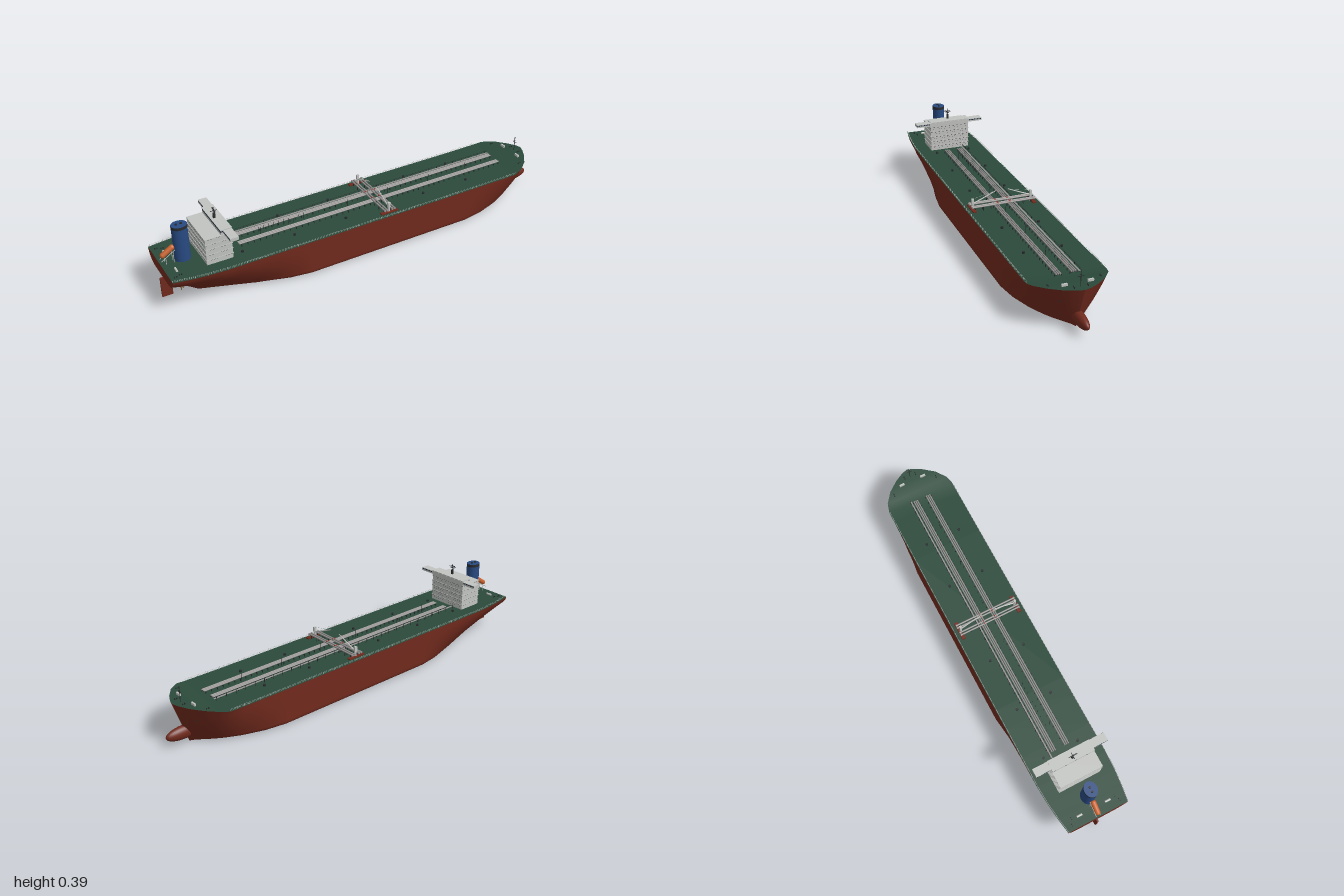
import * as THREE from 'three';
import { mergeGeometries } from 'three/addons/utils/BufferGeometryUtils.js';

const paint = (name, color) => {
  const m = new THREE.MeshStandardMaterial({ color });
  m.name = name;
  return m;
};
const V = (x, y, z) => new THREE.Vector3(x, y, z);

// Box given by size and centre
const box = (sx, sy, sz, x, y, z) => new THREE.BoxGeometry(sx, sy, sz).translate(x, y, z);

// Round bar between two points
function rod(a, b, r, sides = 6, r2 = r) {
  const d = b.clone().sub(a);
  const q = new THREE.Quaternion().setFromUnitVectors(V(0, 1, 0), d.clone().normalize());
  const mid = a.clone().add(b).multiplyScalar(0.5);
  return new THREE.CylinderGeometry(r2, r, d.length(), sides).applyQuaternion(q).translate(mid.x, mid.y, mid.z);
}

// Surface through equal rows of points
function loft(rows) {
  const n = rows[0].length, pos = [], idx = [];
  rows.forEach(row => row.forEach(p => pos.push(p.x, p.y, p.z)));
  for (let i = 0; i < rows.length - 1; i++) for (let j = 0; j < n - 1; j++) {
    const a = i * n + j, b = a + 1, c = a + n, d = c + 1;
    idx.push(a, b, c, c, b, d);
  }
  const g = new THREE.BufferGeometry();
  g.setAttribute('position', new THREE.Float32BufferAttribute(pos, 3));
  g.setIndex(idx);
  g.computeVertexNormals();
  return g;
}

// Hull stations: bottom x, top x, bottom y, deck y, bottom half-width, middle half-width, middle y, deck half-width
const STATIONS = [
  [-0.99, -0.99, 0.125, 0.18, 0.10, 0.145, 0.15, 0.152],
  [-0.92, -0.92, 0.068, 0.178, 0.03, 0.158, 0.13, 0.163],
  [-0.84, -0.84, 0, 0.177, 0.015, 0.165, 0.125, 0.172],
  [-0.75, -0.75, 0, 0.176, 0.05, 0.174, 0.115, 0.177],
  [-0.6, -0.6, 0, 0.176, 0.11, 0.177, 0.10, 0.177],
  [-0.45, -0.45, 0, 0.176, 0.16, 0.177, 0.09, 0.177],
  [-0.35, -0.35, 0, 0.176, 0.177, 0.177, 0.09, 0.177],
  [0.5, 0.5, 0, 0.176, 0.177, 0.177, 0.09, 0.177],
  [0.6, 0.61, 0, 0.176, 0.16, 0.177, 0.09, 0.177],
  [0.7, 0.72, 0, 0.177, 0.125, 0.17, 0.1, 0.177],
  [0.77, 0.79, 0, 0.178, 0.09, 0.15, 0.1, 0.177],
  [0.81, 0.835, 0, 0.188, 0.065, 0.128, 0.1, 0.164],
  [0.845, 0.885, 0, 0.195, 0.04, 0.095, 0.1, 0.125],
  [0.87, 0.925, 0, 0.198, 0.02, 0.055, 0.1, 0.073],
  [0.885, 0.948, 0, 0.201, 0.008, 0.022, 0.1, 0.03],
  [0.89, 0.957, 0, 0.202, 0, 0, 0.1, 0]
];

function section([xb, xt, yb, yt, wb, wm, ym, wt]) {
  const B = new THREE.Vector2(wb, yb), M = new THREE.Vector2(wm, ym), T = new THREE.Vector2(wt, yt);
  const r = Math.min(0.024, wb);
  const P = B.clone().lerp(M, Math.min(0.5, r / B.distanceTo(M)));
  const bilge = new THREE.QuadraticBezierCurve(new THREE.Vector2(wb - r, yb), B, P).getPoints(6);
  const side = new THREE.QuadraticBezierCurve(P, M, T).getPoints(8).slice(1);
  const half = [...bilge, ...side].map(p => V(xb + (xt - xb) * (p.y - yb) / (yt - yb), p.y, p.x));
  const left = half.slice().reverse();
  return [...left, V(xb, yb, 0), ...half.map(p => V(p.x, p.y, -p.z))];
}

export function createModel() {
  const ship = new THREE.Group();
  ship.name = 'tankerShip';
  const red = paint('hullRed', 0x712a1d), green = paint('deckGreen', 0x2b4a3b);
  const white = paint('houseGrey', 0xc2c4c1), blue = paint('funnelBlue', 0x284a82);
  const black = paint('blackFittings', 0x2a2c2f), steel = paint('pipeSteel', 0x959291);
  const orange = paint('lifeboatOrange', 0xc8622e), bronze = paint('propellerBronze', 0x80633a);
  const glass = paint('windowGlass', 0x1c2a3c), valveRed = paint('valveRed', 0xa83222);
  const add = (name, mat, ...geos) => {
    const m = new THREE.Mesh(geos.length > 1 ? mergeGeometries(geos) : geos[0], mat);
    m.name = name;
    ship.add(m);
    return m;
  };
  const sides = [1, -1];

  // Hull shell, transom and deck
  const rows = STATIONS.map(section);
  const last = rows[0].length - 1;
  add('hull', red, loft(rows));
  add('transom', red, loft(rows[0].slice(0, last / 2 + 1).map((p, j) => [p, rows[0][last - j]])));
  add('deck', green, loft(rows.map(r => [r[last], r[0]])));
  add('bulbousBow', red, new THREE.SphereGeometry(1, 28, 18).scale(0.085, 0.031, 0.024).translate(0.915, 0.053, 0));

  // Rudder and propeller
  add('rudder', red, box(0.05, 0.1, 0.008, -0.975, 0.06, 0), box(0.02, 0.04, 0.01, -0.962, 0.12, 0));
  const blades = [0, 1, 2, 3].map(i => new THREE.SphereGeometry(1, 10, 8).scale(0.003, 0.014, 0.007)
    .rotateY(0.5).translate(0, 0.016, 0).rotateX(i * Math.PI / 2).translate(-0.91, 0.043, 0));
  add('propeller', bronze, rod(V(-0.925, 0.043, 0), V(-0.86, 0.043, 0), 0.005, 16), ...blades);

  // Deck-edge railing, ending where the forecastle begins
  const rail = [];
  for (const s of sides) {
    const edge = rows.slice(0, 11).map(r => V(r[0].x, r[0].y, s * (r[0].z - 0.003)));
    for (let i = 0; i < edge.length - 1; i++) {
      const a = edge[i], b = edge[i + 1], n = Math.max(1, Math.round(a.distanceTo(b) / 0.03));
      for (const h of [0.005, 0.01]) rail.push(rod(a.clone().setY(a.y + h), b.clone().setY(b.y + h), 0.0006, 4));
      for (let k = 0; k < n; k++) {
        const p = a.clone().lerp(b, k / n);
        rail.push(rod(p, p.clone().setY(p.y + 0.01), 0.0008, 4));
      }
    }
  }
  add('railing', white, ...rail);

  // Accommodation block with a thin dark line under every deck
  const H = 0.0262, floors = [], lines = [], panes = [];
  for (let i = 0; i < 5; i++) {
    const y = 0.176 + i * H;
    floors.push(box(0.122, H, 0.206, -0.755, y + H / 2, 0));
    floors.push(box(0.126, 0.003, 0.211, -0.755, y + H - 0.0015, 0));
    lines.push(box(0.1245, 0.0012, 0.209, -0.755, y + H - 0.0036, 0));
    for (let k = -6; k <= 6; k++) panes.push(box(0.1228, 0.0022, 0.0024, -0.755, y + 0.013, k * 0.0145));
  }
  add('accommodation', white, ...floors);
  add('deckLines', black, ...lines);
  add('cabinWindows', glass, ...panes);

  // Bridge with wings reaching the ship's sides
  add('bridge', white, box(0.05, 0.024, 0.206, -0.717, 0.319, 0), box(0.04, 0.015, 0.356, -0.711, 0.3205, 0),
    box(0.054, 0.003, 0.21, -0.717, 0.3315, 0));
  const wingPanes = [];
  for (const s of sides) for (let k = 0; k < 8; k++) wingPanes.push(box(0.0412, 0.0055, 0.006, -0.711, 0.323, s * (0.112 + k * 0.0088)));
  add('bridgeWindows', glass, ...wingPanes, box(0.0515, 0.006, 0.2068, -0.717, 0.3235, 0));

  // Radar mast
  add('radarMast', black, rod(V(-0.727, 0.33, 0), V(-0.727, 0.388, 0), 0.0014),
    box(0.01, 0.026, 0.008, -0.727, 0.345, 0),
    ...[[0.366, 0.02], [0.372, 0.042], [0.378, 0.028]].map(([y, w]) => box(0.003, 0.0014, w, -0.727, y, 0)),
    box(0.03, 0.0014, 0.003, -0.727, 0.369, 0));

  // Oval funnel with a black band, blue crown and exhaust pipes
  const oval = (r, y0, y1) => new THREE.CylinderGeometry(r, r, y1 - y0, 48).scale(0.036, 1, 0.03).translate(-0.887, (y0 + y1) / 2, 0);
  add('funnel', blue, oval(1, 0.175, 0.3535));
  add('funnelBand', black, new THREE.CylinderGeometry(1.01, 1.01, 0.014, 48, 1, true).scale(0.036, 1, 0.03).translate(-0.887, 0.3465, 0));
  add('exhaustPipes', black, ...[-0.012, 0.01].map(d => rod(V(-0.887 + d, 0.35, 0), V(-0.887 + d, 0.359, 0), 0.005, 16)));

  // Free-fall lifeboat on its sloping ramp
  const boat = add('lifeboat', orange, new THREE.CapsuleGeometry(0.0125, 0.052, 6, 18).rotateZ(Math.PI / 2));
  boat.position.set(-0.952, 0.236, 0);
  boat.rotation.z = 0.56;
  add('lifeboatRamp', white, ...sides.flatMap(s => [
    rod(V(-0.985, 0.199, s * 0.011), V(-0.915, 0.243, s * 0.011), 0.0015),
    rod(V(-0.965, 0.177, s * 0.011), V(-0.965, 0.212, s * 0.011), 0.0015),
    rod(V(-0.93, 0.177, s * 0.011), V(-0.93, 0.234, s * 0.011), 0.0015)]));

  // Long cargo pipes on cross frames
  const pipes = [], racks = [];
  for (const s of sides) {
    for (const z of [0.025, 0.034, 0.043]) pipes.push(rod(V(-0.64, 0.189, s * z), V(0.785, 0.189, s * z), 0.0034, 16));
    for (let i = 0; i <= 47; i++) {
      const x = -0.63 + i * 0.03;
      racks.push(box(0.003, 0.003, 0.034, x, 0.1845, s * 0.034));
      for (const z of [0.019, 0.049]) racks.push(box(0.003, 0.012, 0.003, x, 0.181, s * z));
    }
  }
  add('cargoPipes', steel, ...pipes);
  add('pipeRacks', black, ...racks);

  // Raised walkway beside the pipes
  const walk = [rod(V(-0.67, 0.198, -0.062), V(0.79, 0.198, -0.062), 0.0009, 4)];
  for (let i = 0; i <= 29; i++) walk.push(box(0.002, 0.022, 0.002, -0.67 + i * 0.05, 0.187, -0.062));
  add('walkway', steel, box(1.46, 0.002, 0.008, 0.06, 0.188, -0.057));
  add('walkwayRail', black, ...walk);

  // Crosswise loading manifold amidships, with red valves and trays
  const manifold = [], stands = [], valves = [];
  for (const x of [0.046, 0.059, 0.085, 0.098]) {
    manifold.push(rod(V(x, 0.197, -0.152), V(x, 0.197, 0.152), 0.004, 16));
    for (const s of sides) {
      manifold.push(rod(V(x, 0.197, s * 0.149), V(x, 0.197, s * 0.156), 0.0055, 16));
      for (const z of [0.06, 0.1, 0.14]) stands.push(box(0.003, 0.02, 0.003, x, 0.185, s * z));
      valves.push(rod(V(x, 0.198, s * 0.03), V(x, 0.205, s * 0.03), 0.0025, 16));
    }
  }
  add('manifold', steel, ...manifold);
  add('manifoldStands', black, ...stands);
  add('manifoldValves', valveRed, ...valves);
  add('dripTrays', red, ...sides.map(s => box(0.09, 0.005, 0.018, 0.072, 0.182, s * 0.148)));

  // Two hose cranes with booms stowed inward
  for (const s of sides) add('hoseCrane', white,
    rod(V(0.072, 0.176, s * 0.143), V(0.072, 0.21, s * 0.143), 0.006, 16),
    box(0.013, 0.024, 0.01, 0.072, 0.218, s * 0.144),
    rod(V(0.072, 0.207, s * 0.138), V(0.072, 0.253, s * 0.03), 0.0036, 16, 0.0018),
    rod(V(0.072, 0.229, s * 0.143), V(0.072, 0.253, s * 0.03), 0.0006, 4));

  // Tank hatches, deck posts and mooring gear
  const hatches = [], posts = [], bollards = [];
  for (const s of sides) {
    for (const x of [-0.645, -0.39, -0.125, 0.3, 0.55]) hatches.push(rod(V(x, 0.174, s * 0.088), V(x, 0.184, s * 0.088), 0.006, 16));
    for (const [x, y, z] of [[-0.94, 0.178, 0.11], [-0.965, 0.179, 0.12], [0.86, 0.191, 0.115], [0.92, 0.198, 0.03]])
      for (const d of [-0.005, 0.005]) bollards.push(rod(V(x + d, y - 0.003, s * z), V(x + d, y + 0.006, s * z), 0.0025, 16));
  }
  for (const x of [-0.52, -0.07, 0.15, 0.38, 0.6]) posts.push(rod(V(x, 0.176, 0.01), V(x, 0.219, 0.01), 0.0012));
  for (let i = 0; i < 10; i++) posts.push(rod(V(-0.52 + i * 0.025, 0.176, -0.01), V(-0.52 + i * 0.025, 0.208, -0.01), 0.0008, 5));
  add('tankHatches', black, ...hatches);
  add('deckPosts', black, ...posts);
  add('bollards', black, ...bollards);
  add('windlasses', white, ...sides.flatMap(s => [
    box(0.008, 0.012, 0.026, 0.89, 0.2, s * 0.057),
    rod(V(-0.945, 0.183, s * 0.058), V(-0.945, 0.183, s * 0.085), 0.005, 16)]));

  // Foremast
  add('foremast', black, rod(V(0.917, 0.195, 0), V(0.917, 0.272, 0), 0.0015),
    box(0.002, 0.002, 0.026, 0.917, 0.243, 0), box(0.004, 0.004, 0.004, 0.917, 0.25, 0));

  // Anchors against the bow
  for (const s of sides) {
    const anchor = add('anchor', black, box(0.004, 0.022, 0.003, 0, 0, 0),
      ...sides.map(d => box(0.003, 0.01, 0.003, d * 0.0045, -0.004, 0)), box(0.011, 0.003, 0.003, 0, -0.01, 0));
    anchor.position.set(0.894, 0.143, s * 0.075);
    anchor.rotation.y = s * 0.95;
  }
  return ship;
}
